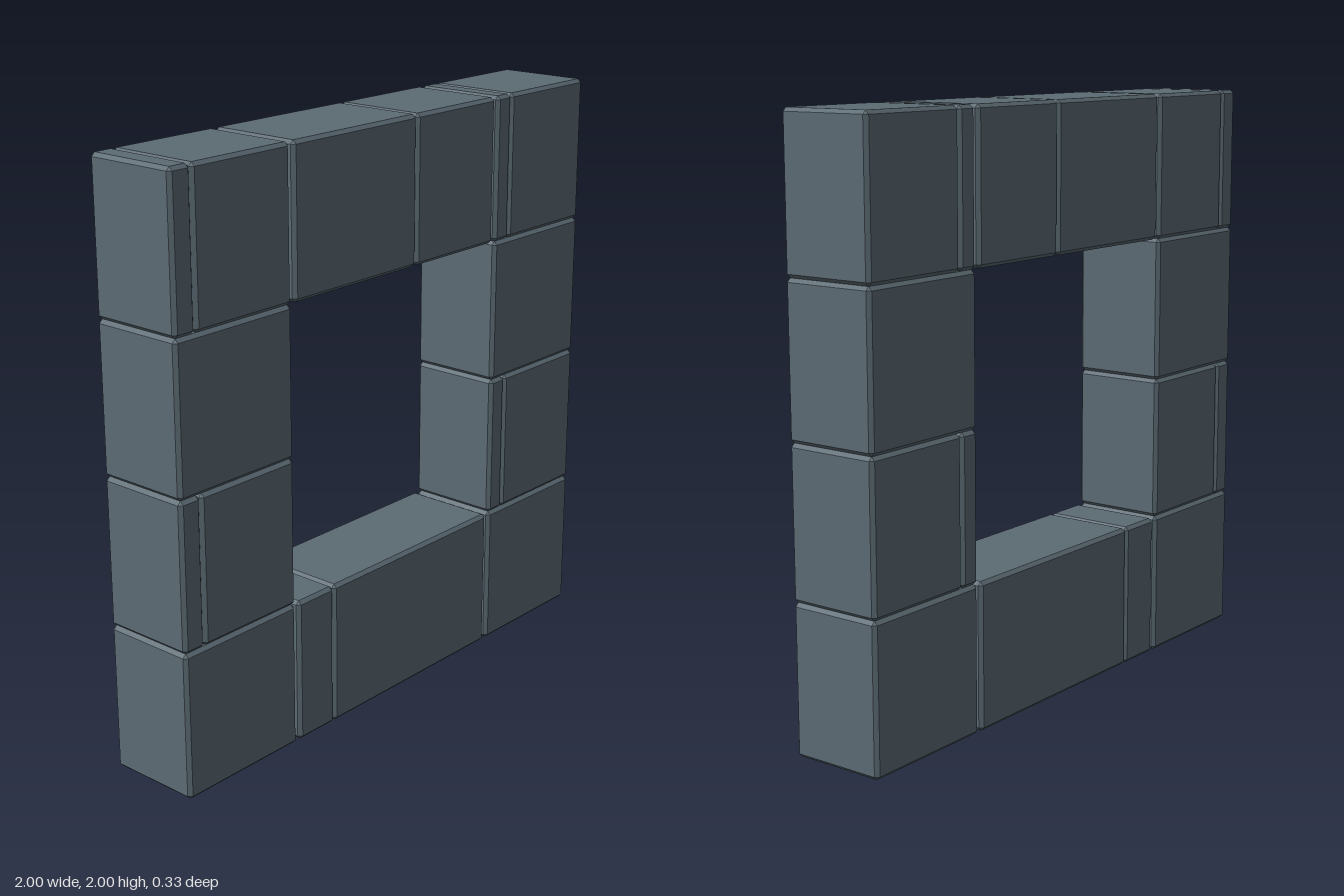
import * as THREE from 'three';
import { ConvexGeometry } from 'three/addons/geometries/ConvexGeometry.js';

const DEPTH = 0.334;
const CHAMFER = 0.012;
const ROW = 0.5;

// Box with every edge and corner cut flat
function chamferedBox(w, h, d, c) {
  const points = [];
  for (const sx of [-1, 1]) for (const sy of [-1, 1]) for (const sz of [-1, 1]) {
    const x = w / 2, y = h / 2, z = d / 2;
    points.push(
      new THREE.Vector3(sx * x, sy * (y - c), sz * (z - c)),
      new THREE.Vector3(sx * (x - c), sy * y, sz * (z - c)),
      new THREE.Vector3(sx * (x - c), sy * (y - c), sz * z),
    );
  }
  return new ConvexGeometry(points);
}

export function createModel() {
  const stone = new THREE.MeshStandardMaterial({ color: 0x5c6b74 });
  stone.name = 'slate stone';

  const group = new THREE.Group();
  group.name = 'stoneWindowFrame';

  // Each run of stones is a list of x positions where stones meet, bottom row first
  const left = [-1, -0.508], right = [0.508, 1];
  const leftSplit = [-1, -0.915, -0.508], rightSplit = [0.508, 0.585, 1];
  const rows = [
    { leftPier: left, sill: [-0.496, -0.325, 0.496], rightPier: right },
    { leftPier: leftSplit, rightPier: rightSplit },
    { leftPier: left, rightPier: right },
    { leftPier: leftSplit, lintel: [-0.496, 0.085, 0.496], rightPier: rightSplit },
  ];

  rows.forEach((runs, row) => {
    for (const [part, cuts] of Object.entries(runs)) {
      for (let i = 0; i < cuts.length - 1; i++) {
        const width = cuts[i + 1] - cuts[i];
        const block = new THREE.Mesh(chamferedBox(width, ROW, DEPTH, CHAMFER), stone);
        block.name = `${part}Stone${row + 1}${i ? 'Inner' : ''}`;
        block.position.set((cuts[i] + cuts[i + 1]) / 2, (row + 0.5) * ROW, 0);
        group.add(block);
      }
    }
  });
  return group;
}
